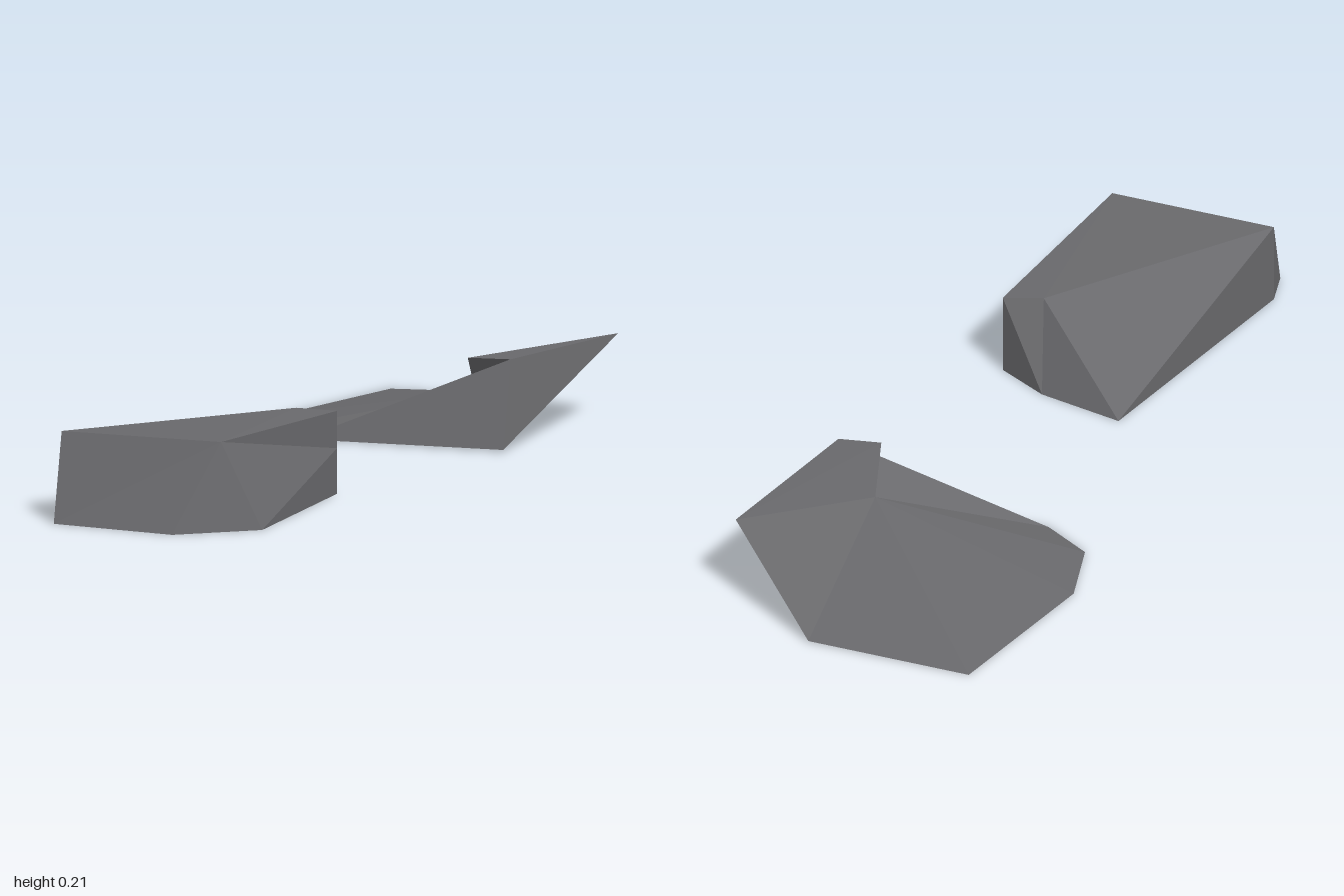
import * as THREE from 'three';

const stone = new THREE.MeshStandardMaterial({ color: 0x68686b });
stone.name = 'grey stone';

// Flat-faceted solid from named corners; each face is a string of corner names, fanned
function facetedRock(name, corners, faces) {
  const pos = [];
  for (const face of faces.split(' ')) {
    const c = face.split('').map((k) => corners[k]);
    for (let i = 1; i < c.length - 1; i++) pos.push(...c[0], ...c[i], ...c[i + 1]);
  }
  const geo = new THREE.BufferGeometry();
  geo.setAttribute('position', new THREE.Float32BufferAttribute(pos, 3));
  geo.computeVertexNormals();
  const mesh = new THREE.Mesh(geo, stone);
  mesh.name = name;
  return mesh;
}

export function createModel() {
  const group = new THREE.Group();
  group.name = 'rocks';

  // Long flat-topped rock: lower-case corners on the ground, capitals above it
  group.add(facetedRock('frontRock', {
    a: [-0.235, 0, 0.21], b: [-0.03, 0, 0.285], c: [0.087, 0, 0.372],
    e: [-0.463, 0.005, 0.83], h: [-0.453, 0, 0.935], i: [-0.143, 0, 1], g: [0.045, 0, 0.88],
    M: [0.087, 0.11, 0.372], C: [0.087, 0.2, 0.372], D: [-0.01, 0.205, 0.385],
    E: [-0.463, 0.205, 0.83], F: [-0.055, 0.208, 0.885],
  }, 'FCDE hiFE igF gcM gMF FMC cbC bDC baD aED aeE ehE eabcgih'));

  // Broad rock with a sloping back, a pit and an overhanging crest
  group.add(facetedRock('backRock', {
    p: [-0.165, 0, -1], q: [0.24, 0.003, -0.945], s: [0.318, 0.005, -0.265],
    w: [-0.19, 0, -0.3], x: [-0.3, 0, -0.39], y: [-0.32, 0.003, -0.585],
    V: [0.2, 0.11, -0.44], U: [0.207, 0.207, -0.35], T: [0.31, 0.207, -0.357],
    R: [0.46, 0.205, -0.77],
  }, 'Vqp Vpy Vyx Vxw VwT VTU VUR VRq UTR wsT sRT sqR xypqsw'));

  return group;
}
